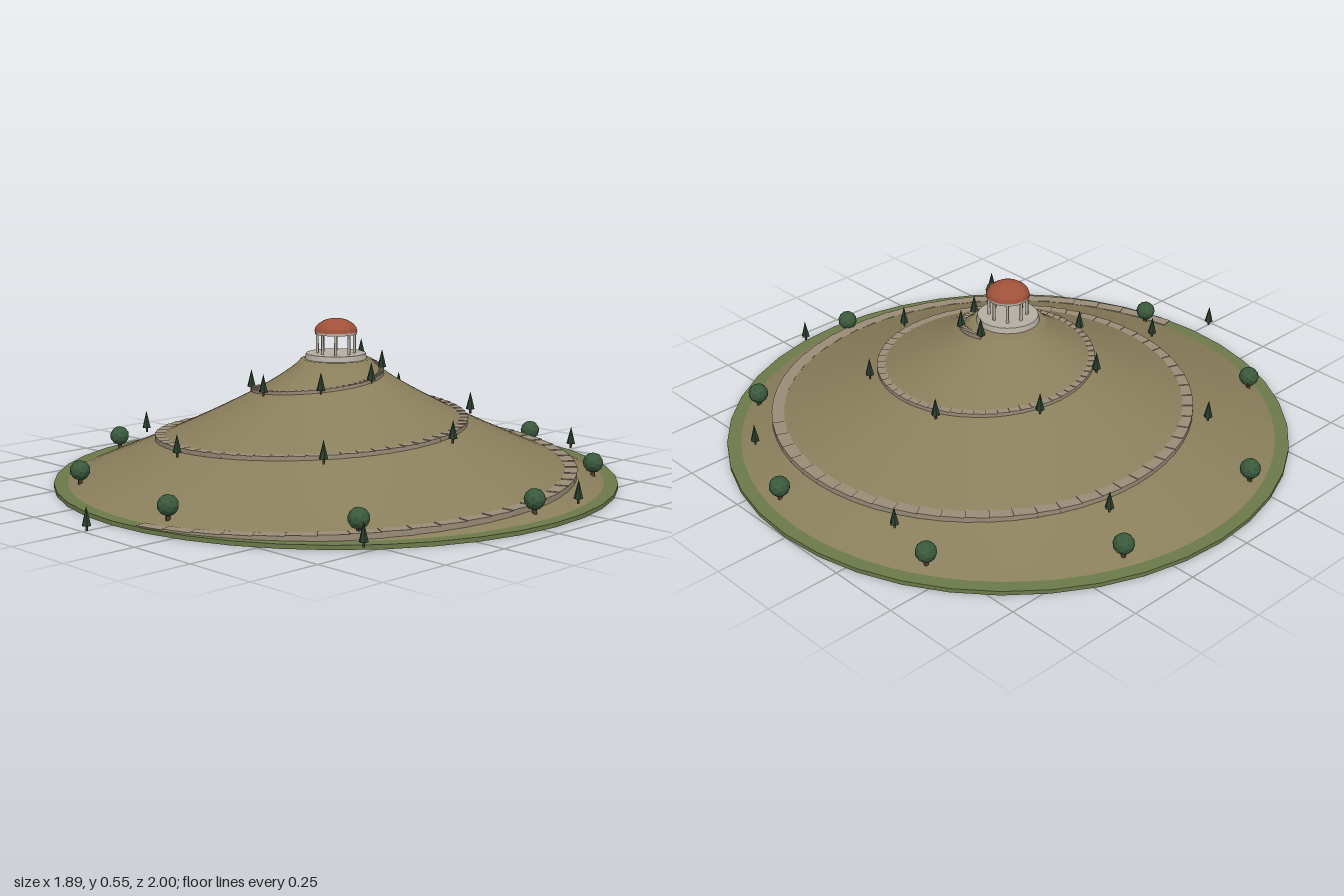
import * as THREE from 'three';

const TURN = THREE.MathUtils.degToRad(904); // full sweep of the spiral path
const RISE = 0.395;

// Slope radius at height fraction u (0 = foot, 1 = summit)
const slopeRadius = (u) => 0.116 + 0.812 * Math.pow(1 - u, 1.25);

// Point on the spiral, angle measured from the front towards +x
function spiral(u, scale = 1, y = 0) {
  const a = u * TURN, r = slopeRadius(u) * scale;
  return new THREE.Vector3(r * Math.sin(a), y, r * Math.cos(a));
}

const paint = (color, opts = {}) => {
  const m = new THREE.MeshStandardMaterial({ color });
  return Object.assign(m, opts);
};

const mats = {
  grass: paint(0x6b7a4a, { flatShading: true }),
  earth: paint(0x8a7f5c, { side: THREE.DoubleSide }),
  path: paint(0x9a8c78),
  stone: paint(0xb5aea2),
  dome: paint(0xa0523a, { flatShading: true }),
  leaf: paint(0x3a5a3c, { flatShading: true }),
  needle: paint(0x2a3d2c, { flatShading: true }),
  trunk: paint(0x4f3d2a),
};

function add(parent, name, geometry, material, x = 0, y = 0, z = 0) {
  const mesh = new THREE.Mesh(geometry, material);
  mesh.name = name;
  mesh.position.set(x, y, z);
  parent.add(mesh);
  return mesh;
}

function addGroup(parent, name, x = 0, y = 0, z = 0) {
  const g = new THREE.Group();
  g.name = name;
  g.position.set(x, y, z);
  parent.add(g);
  return g;
}

export function createModel() {
  const model = new THREE.Group();
  model.name = 'hillWithPavilion';
  const site = addGroup(model, 'site', 0, 0, -0.055);

  // Grass disc
  add(site, 'ground', new THREE.CylinderGeometry(0.945, 0.945, 0.014, 40), mats.grass, 0, 0.007, 0);

  // Hill with a gently concave slope
  const profile = [];
  for (let i = 0; i <= 24; i++) {
    const u = i / 24;
    profile.push(new THREE.Vector2(slopeRadius(u), 0.002 + 0.41 * u));
  }
  profile.push(new THREE.Vector2(0, 0.413));
  add(site, 'hill', new THREE.LatheGeometry(profile, 64), mats.earth);

  // Stepped path winding up the hill
  const path = addGroup(site, 'spiralPath');
  const steps = 150, start = 0.007;
  for (let i = 0; i < steps; i++) {
    const u0 = start + (1 - start) * (i / steps);
    const u1 = start + (1 - start) * ((i + 1) / steps);
    const a = spiral(u0), b = spiral(u1);
    const top = 0.013 + RISE * (u0 + u1) / 2;
    const thick = Math.min(0.022, top);
    const step = add(path, 'pathStep',
      new THREE.BoxGeometry(a.distanceTo(b) * 1.03 + 0.002, thick, 0.042), mats.path,
      (a.x + b.x) / 2, top - thick / 2, (a.z + b.z) / 2);
    step.rotation.y = Math.atan2(-(b.z - a.z), b.x - a.x);
  }

  // Conifers along the outer edge of the path
  const needleGeo = new THREE.ConeGeometry(0.015, 0.06, 6);
  const stemGeo = new THREE.CylinderGeometry(0.004, 0.004, 0.02, 5);
  for (let i = 0; i <= 18; i++) {
    const u = i / 18;
    const p = spiral(u, 1.12, Math.max(0, RISE * u - 0.006));
    const tree = addGroup(site, 'conifer', p.x, p.y, p.z);
    add(tree, 'coniferTrunk', stemGeo, mats.trunk, 0, 0.01, 0);
    add(tree, 'coniferCrown', needleGeo, mats.needle, 0, 0.046, 0);
  }

  // Round trees in a ring at the foot
  const crownGeo = new THREE.IcosahedronGeometry(0.034, 1);
  const trunkGeo = new THREE.CylinderGeometry(0.007, 0.009, 0.04, 6);
  for (let i = 0; i < 9; i++) {
    const a = i * Math.PI * 2 / 9;
    const tree = addGroup(site, 'roundTree', 0.862 * Math.cos(a), 0.012, 0.862 * Math.sin(a));
    add(tree, 'roundTreeTrunk', trunkGeo, mats.trunk, 0, 0.02, 0);
    add(tree, 'roundTreeCrown', crownGeo, mats.leaf, 0, 0.061, 0);
  }

  // Summit pavilion: platform, columns, ring beam and dome
  const pavilion = addGroup(site, 'pavilion', 0, 0.41, 0);
  add(pavilion, 'platform', new THREE.CylinderGeometry(0.1, 0.105, 0.02, 24), mats.stone, 0, 0.01, 0);
  const columnGeo = new THREE.CylinderGeometry(0.0045, 0.005, 0.07, 8);
  for (let i = 0; i < 8; i++) {
    const a = i * Math.PI / 4;
    add(pavilion, 'column', columnGeo, mats.stone, 0.062 * Math.cos(a), 0.055, 0.062 * Math.sin(a));
  }
  add(pavilion, 'ringBeam', new THREE.CylinderGeometry(0.07, 0.07, 0.008, 24), mats.stone, 0, 0.088, 0);
  const dome = add(pavilion, 'dome',
    new THREE.SphereGeometry(0.072, 16, 5, 0, Math.PI * 2, 0, Math.PI / 2), mats.dome, 0, 0.092, 0);
  dome.scale.y = 0.62;

  return model;
}
